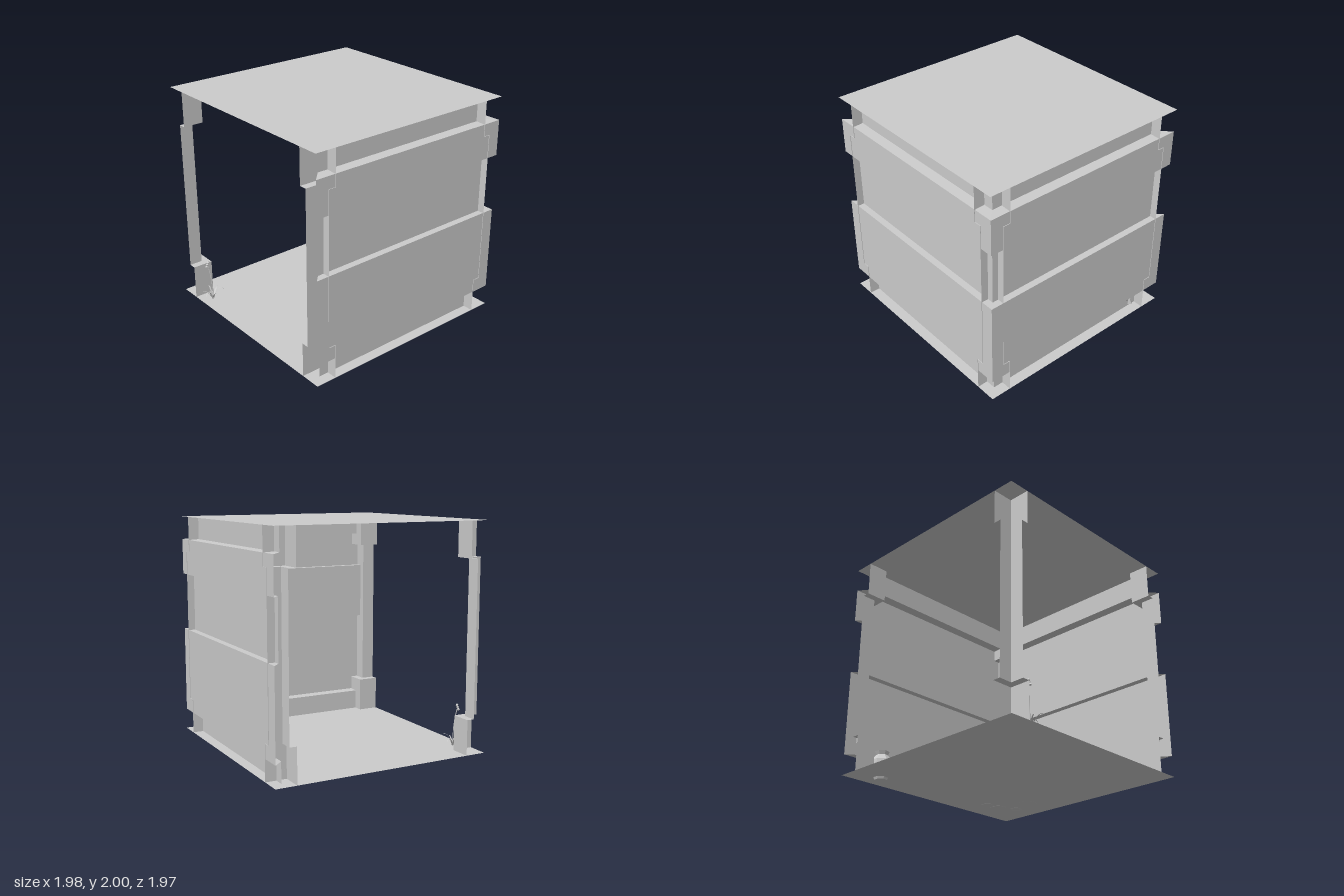
import * as THREE from 'three';

const grey = new THREE.MeshStandardMaterial({ color: 0xcccccc, side: THREE.DoubleSide });
const facet = new THREE.MeshStandardMaterial({ color: 0xcccccc, side: THREE.DoubleSide, flatShading: true });
const FLOOR = 0.02, EDGE = 0.985;

function add(parent, name, geometry, material = grey) {
  const mesh = new THREE.Mesh(geometry, material);
  mesh.name = name;
  parent.add(mesh);
  return mesh;
}

// Sweeps a profile of [height, depth] steps along a plan outline that depends on depth
function steppedSurface(profile, outline) {
  const pos = [];
  for (let i = 0; i < profile.length - 1; i++) {
    const [y0, d0] = profile[i], [y1, d1] = profile[i + 1];
    const low = outline(d0), high = outline(d1);
    for (let k = 0; k < low.length - 1; k++) {
      const a = [low[k][0], y0, low[k][1]], b = [low[k + 1][0], y0, low[k + 1][1]];
      const c = [high[k + 1][0], y1, high[k + 1][1]], d = [high[k][0], y1, high[k][1]];
      pos.push(...a, ...c, ...b, ...a, ...d, ...c);
    }
  }
  const g = new THREE.BufferGeometry();
  g.setAttribute('position', new THREE.Float32BufferAttribute(pos, 3));
  g.computeVertexNormals();
  return g;
}

// Turned vessel: smooth spline through [radius, height] points
function vessel(parent, name, x, z, points) {
  const curve = new THREE.SplineCurve(points.map(([r, y]) => new THREE.Vector2(r, y)));
  const profile = [new THREE.Vector2(0, points[0][1]), ...curve.getPoints(36)];
  profile.forEach(p => { p.x = Math.max(p.x, 0); });
  add(parent, name, new THREE.LatheGeometry(profile, 28)).position.set(x, FLOOR - 0.004, z);
}

// Thin arching blade that narrows to a tip
function blade(length, rise, width) {
  const g = new THREE.PlaneGeometry(width, 1, 1, 6);
  const p = g.attributes.position;
  for (let i = 0; i < p.count; i++) {
    const t = p.getY(i) + 0.5;
    p.setXYZ(i, p.getX(i) * (1 - 0.95 * t), rise * Math.sin(t * 2.3), length * t);
  }
  g.computeVertexNormals();
  return g;
}

export function createModel() {
  const room = new THREE.Group();
  room.name = 'room';

  // Floor and ceiling sheets
  for (const [name, y, turn] of [['floor', FLOOR, -1], ['ceiling', 2, 1]]) {
    const sheet = add(room, name, new THREE.PlaneGeometry(EDGE * 2, EDGE * 2));
    sheet.rotation.x = turn * Math.PI / 2;
    sheet.position.y = y;
  }

  // Two walls with skirting, panels and cornice
  const wallProfile = [[FLOOR, 0.89], [0.2, 0.89], [0.205, 0.98], [0.97, 0.98], [0.97, 0.92],
    [1.48, 0.92], [1.48, 0.98], [1.795, 0.98], [1.8, 0.89], [2, 0.89]];
  const wall = steppedSurface(wallProfile, d => [[-d, d], [d, d]]);
  add(room, 'frontWall', wall);
  add(room, 'leftWall', wall).rotation.y = Math.PI / 2;

  // Corner pillars with wider base and head blocks
  const pillarProfile = [[FLOOR, 0.8], [0.33, 0.8], [0.33, 0.865], [1.69, 0.865], [1.69, 0.8], [2, 0.8]];
  const pillar = steppedSurface(pillarProfile, e => [[e, EDGE], [e, e], [EDGE, e]]);
  for (let i = 0; i < 4; i++) add(room, 'cornerPillar', pillar).rotation.y = i * Math.PI / 2;

  // Group of vases in the walled corner
  vessel(room, 'tallVase', 0.72, 0.61, [[0.075, 0], [0.1, 0.08], [0.15, 0.32], [0.12, 0.5],
    [0.07, 0.62], [0.065, 0.72], [0.088, 0.78], [0.07, 0.775], [0.05, 0.7]]);
  vessel(room, 'slimVase', 0.73, 0.475, [[0.055, 0], [0.07, 0.08], [0.1, 0.25], [0.085, 0.37],
    [0.045, 0.48], [0.042, 0.53], [0.056, 0.575], [0.045, 0.57], [0.032, 0.52]]);
  vessel(room, 'smallVase', 0.63, 0.75, [[0.05, 0], [0.08, 0.14], [0.06, 0.28], [0.03, 0.36],
    [0.03, 0.41], [0.042, 0.45], [0.03, 0.445], [0.022, 0.4]]);
  vessel(room, 'roundPot', 0.43, 0.69, [[0.08, 0], [0.15, 0.06], [0.175, 0.14], [0.145, 0.22],
    [0.09, 0.265], [0.108, 0.3], [0.09, 0.3], [0.075, 0.265], [0.12, 0.2]]);

  // Faceted jug with a short spout
  const jug = new THREE.Group();
  jug.name = 'facetedJug';
  jug.position.set(0.81, 0, -0.71);
  const jugProfile = [[0, 0], [0.055, 0], [0.1, 0.1], [0.09, 0.17], [0.05, 0.22], [0.065, 0.25]];
  add(jug, 'jugBody', new THREE.LatheGeometry(jugProfile.map(p => new THREE.Vector2(...p)), 7), facet);
  const spike = add(jug, 'jugHandle', new THREE.ConeGeometry(0.025, 0.12, 4), facet);
  spike.position.set(0.095, 0.115, 0);
  spike.rotation.x = 0.2;
  const spout = add(jug, 'jugSpout', new THREE.ConeGeometry(0.025, 0.09, 5), facet);
  spout.position.set(-0.1, 0.09, 0.05);
  spout.rotation.z = 1.9;
  room.add(jug);

  // Small plant beside the back pillar
  const plant = new THREE.Group();
  plant.name = 'plant';
  plant.position.set(-0.88, FLOOR, -0.68);
  const stalk = new THREE.QuadraticBezierCurve3(new THREE.Vector3(),
    new THREE.Vector3(0.01, 0.2, 0), new THREE.Vector3(-0.02, 0.35, -0.03));
  add(plant, 'stalk', new THREE.TubeGeometry(stalk, 8, 0.004, 5));
  for (let i = 0; i < 3; i++) {
    const bud = add(plant, 'bud', new THREE.OctahedronGeometry(0.016), facet);
    bud.position.set(-0.02 + 0.008 * (i - 1), 0.33 + i * 0.02, -0.03);
  }
  for (let i = 0; i < 6; i++) {
    const leaf = add(plant, 'leaf', blade(0.09 + 0.02 * (i % 3), 0.08 + 0.03 * (i % 2), 0.02));
    leaf.rotation.y = i * Math.PI / 3;
  }
  room.add(plant);
  return room;
}
